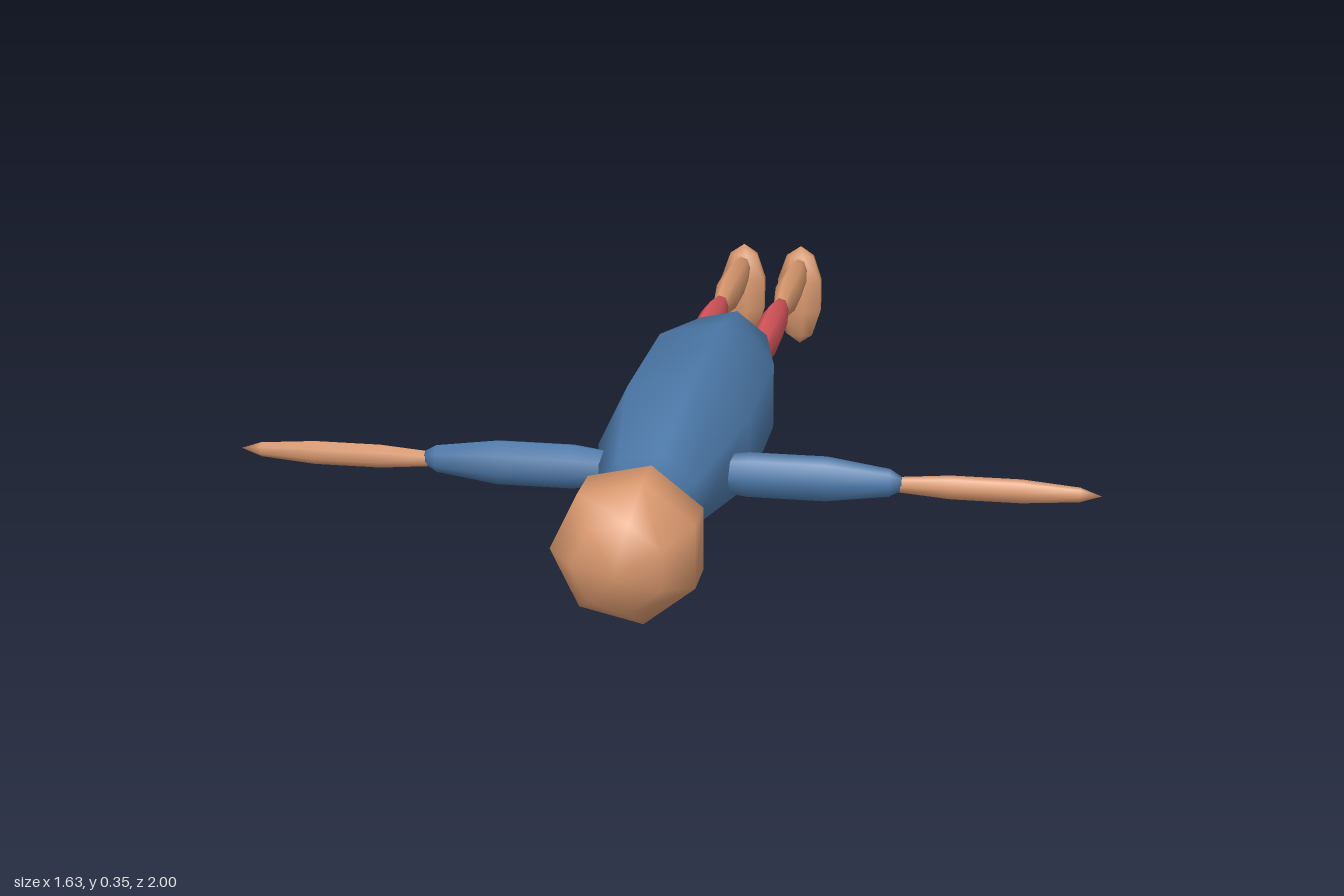
import * as THREE from 'three';

export function createModel() {
  const model = new THREE.Group();
  const material = (name, color) => {
    const m = new THREE.MeshStandardMaterial({ color });
    m.name = name;
    return m;
  };
  const skin = material('skin', 0xd9986e);
  const blue = material('blueShirt', 0x4c78a8);
  const red = material('redShorts', 0xd6555a);

  // Low-sided smooth ellipsoid whose long axis lies along z
  const lengthwise = new THREE.SphereGeometry(1, 7, 5).rotateX(Math.PI / 2);
  const upright = new THREE.SphereGeometry(1, 7, 5);

  function blob(name, mat, position, size, turn = 0, geometry = lengthwise) {
    const mesh = new THREE.Mesh(geometry, mat);
    mesh.name = name;
    mesh.position.set(...position);
    mesh.scale.set(...size);
    mesh.rotation.y = turn;
    model.add(mesh);
  }

  const midX = 0.017;

  // Head and torso, lying flat with the head to the front
  blob('head', skin, [midX, 0.19, 0.86], [0.14, 0.14, 0.14]);
  blob('torso', blue, [midX, 0.2, 0.22], [0.161, 0.161, 0.56]);

  for (const side of [1, -1]) {
    const label = side > 0 ? 'left' : 'right';

    // Arms stretched out sideways
    const turn = side * Math.PI / 2;
    blob(label + 'UpperArm', blue, [side * 0.24, 0.187, 0.482], [0.034, 0.047, 0.235], turn);
    blob(label + 'Forearm', skin, [side * 0.607, 0.185, 0.482], [0.0165, 0.025, 0.21], turn);

    // Legs stretched out behind
    const legX = midX - 0.001 + side * 0.069;
    blob(label + 'Thigh', red, [legX, 0.196, -0.415], [0.031, 0.046, 0.215], Math.PI);
    blob(label + 'Shin', skin, [legX, 0.196, -0.763], [0.031, 0.046, 0.207], Math.PI);

    // Feet hanging down
    blob(label + 'Foot', skin, [legX - 0.001, 0.124, -0.966], [0.058, 0.122, 0.036], 0, upright);
  }

  return model;
}
